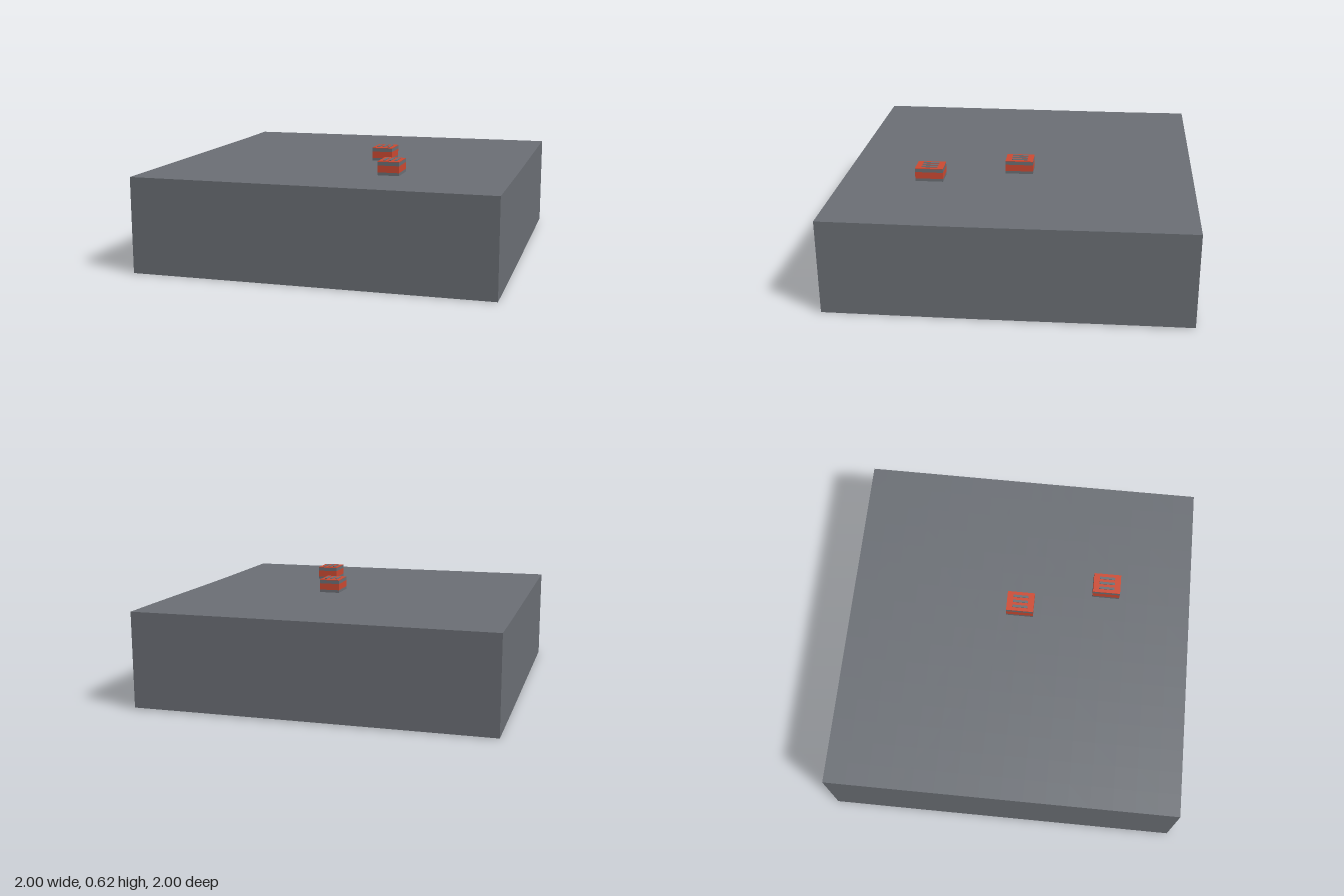
import * as THREE from 'three';

const gray = new THREE.MeshStandardMaterial({ color: 0x6b6f75, side: THREE.DoubleSide });
gray.name = 'slate gray';
const orange = new THREE.MeshStandardMaterial({ color: 0xcc4a32 });
orange.name = 'brick orange';

const SLAB = 0.535;

// The ground climbs very gently towards its back right corner.
function rise(x, z) {
  const t = THREE.MathUtils.smoothstep(x * 0.4 - z, 0, 1.4);
  return 0.008 * t;
}

function box(name, w, y0, y1, d, material, x = 0) {
  const mesh = new THREE.Mesh(new THREE.BoxGeometry(w, y1 - y0, d), material);
  mesh.name = name;
  mesh.position.set(x, (y0 + y1) / 2, 0);
  return mesh;
}

// Hollow block of ground: top and four thin walls, open underneath
function createGround() {
  const geometry = new THREE.BoxGeometry(2, SLAB, 2, 16, 1, 16);
  geometry.translate(0, SLAB / 2, 0);
  const bottom = geometry.groups[3];
  const index = Array.from(geometry.index.array);
  index.splice(bottom.start, bottom.count);
  geometry.setIndex(index);
  geometry.clearGroups();
  const p = geometry.attributes.position;
  for (let i = 0; i < p.count; i++) p.setY(i, p.getY(i) + rise(p.getX(i), p.getZ(i)));
  geometry.computeVertexNormals();
  const ground = new THREE.Mesh(geometry, gray);
  ground.name = 'ground';
  return ground;
}

// Small banded building with a flat roof and three roof bars
function createBuilding(name, x, z) {
  const w = 0.12, d = 0.16;
  const building = new THREE.Group();
  building.name = name;
  building.add(
    box('base', w, 0, 0.016, d, gray),
    box('wallBand', w, 0.016, 0.054, d, orange),
    box('upperWall', w, 0.054, 0.074, d, gray),
    box('roof', w, 0.074, 0.077, d, orange),
  );
  for (const bx of [-0.032, 0, 0.032]) {
    building.add(box('roofBar', 0.014, 0.077, 0.081, 0.09, gray, bx));
  }
  building.position.set(x, SLAB, z);
  return building;
}

export function createModel() {
  const model = new THREE.Group();
  model.name = 'groundWithBuildings';
  model.add(
    createGround(),
    createBuilding('rearBuilding', 0.165, 0),
    createBuilding('frontBuilding', 0.33, 0.5),
  );
  return model;
}
